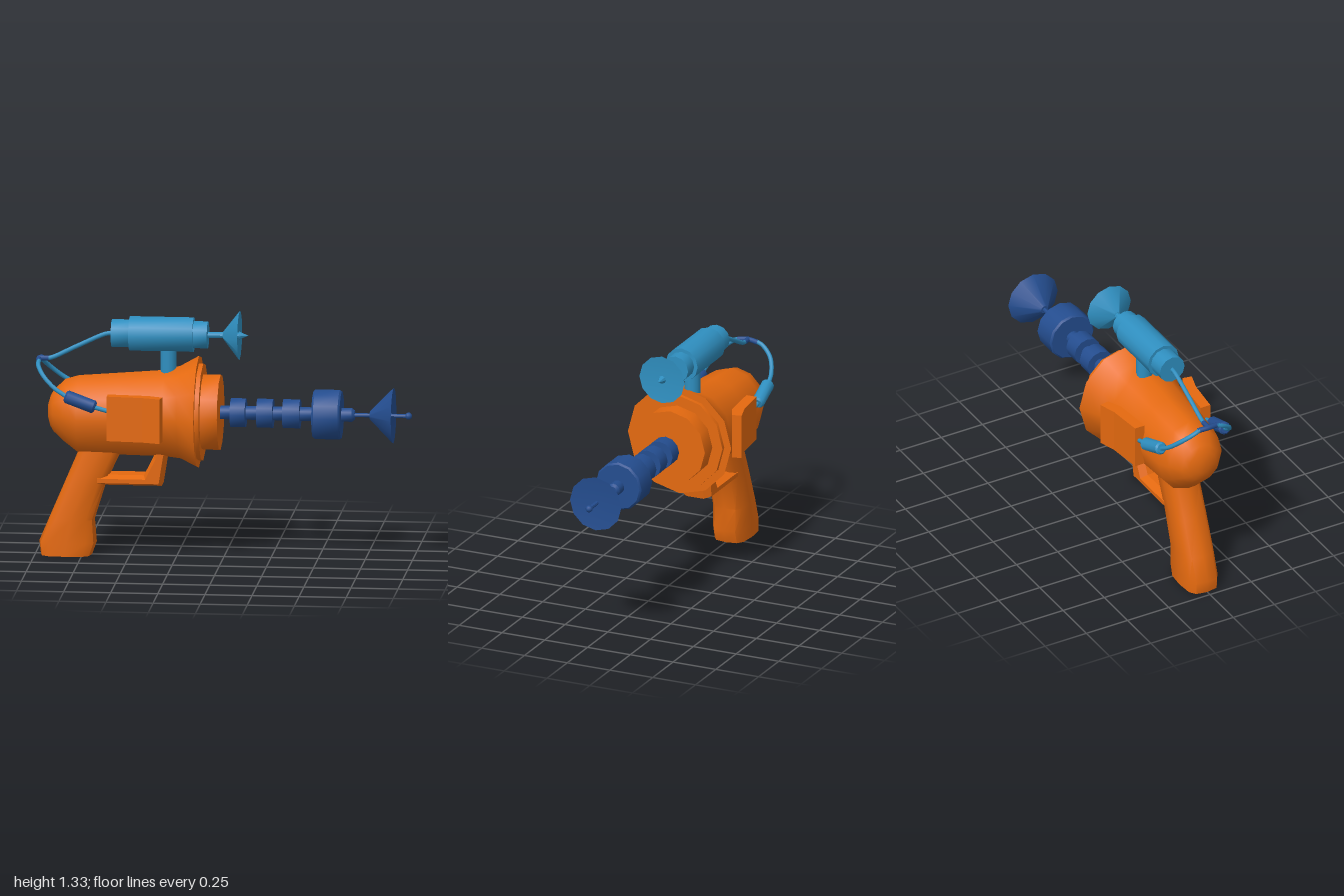
import * as THREE from 'three';
import { toCreasedNormals } from 'three/addons/utils/BufferGeometryUtils.js';

const material = (name, color) => {
  const m = new THREE.MeshStandardMaterial({ color });
  m.name = name;
  return m;
};
const V = (x, y, z) => new THREE.Vector3(x, y, z);

// Closed skin through rings of points, each ring anticlockwise about the travel direction
function loft(rings) {
  const n = rings[0].length, last = rings.length - 1, pos = [], idx = [];
  rings.forEach(r => r.forEach(p => pos.push(p.x, p.y, p.z)));
  const cap = k => {
    const c = rings[k].reduce((s, p) => s.add(p), V(0, 0, 0)).divideScalar(n);
    pos.push(c.x, c.y, c.z);
    return pos.length / 3 - 1;
  };
  const start = cap(0), end = cap(last);
  for (let i = 0; i < n; i++) {
    const j = (i + 1) % n;
    for (let k = 0; k < last; k++) {
      const a = k * n + i, b = k * n + j;
      idx.push(a, b, b + n, a, b + n, a + n);
    }
    idx.push(start, j, i, end, last * n + i, last * n + j);
  }
  const g = new THREE.BufferGeometry();
  g.setAttribute('position', new THREE.Float32BufferAttribute(pos, 3));
  g.setIndex(idx);
  return toCreasedNormals(g, 0.75);
}

// Solid of revolution about the x axis from [x, radius] pairs
function turned(profile, sides = 12) {
  const g = new THREE.LatheGeometry(profile.map(([x, r]) => new THREE.Vector2(r, x)), sides);
  return toCreasedNormals(g.rotateZ(-Math.PI / 2), 0.65);
}

const angles = Array.from({ length: 12 }, (_, i) => i * Math.PI / 6);
const square = v => Math.sign(v) * Math.abs(v) ** 0.6;

export function createModel() {
  const orange = material('orange shell', 0xe4690f);
  const navy = material('dark blue metal', 0x244d8f);
  const blue = material('light blue metal', 0x2f8fc0);
  const model = new THREE.Group();
  model.name = 'rayGun';
  const add = (name, geometry, mat, x = 0, y = 0, z = 0) => {
    const mesh = new THREE.Mesh(geometry, mat);
    mesh.name = name;
    mesh.position.set(x, y, z);
    model.add(mesh);
    return mesh;
  };
  const tube = (name, points, radius, mat, straight = false) => {
    const curve = straight ? new THREE.LineCurve3(...points) : new THREE.CatmullRomCurve3(points);
    return add(name, new THREE.TubeGeometry(curve, straight ? 1 : 20, radius, 8), mat);
  };

  // Body: x, centre height, half height, half width
  const body = [
    [-0.932, 0.77, 0.04, 0.035], [-0.918, 0.77, 0.085, 0.085], [-0.9, 0.77, 0.115, 0.115],
    [-0.84, 0.77, 0.172, 0.162], [-0.77, 0.753, 0.21, 0.18], [-0.55, 0.76, 0.221, 0.198],
    [-0.31, 0.768, 0.233, 0.22], [-0.23, 0.775, 0.25, 0.245], [-0.133, 0.778, 0.302, 0.302],
  ];
  add('body', loft(body.map(([x, cy, ry, rz]) =>
    angles.map(a => V(x, cy + ry * Math.cos(a), rz * Math.sin(a))))), orange);
  add('muzzleRings', turned([[-0.15, 0], [-0.15, 0.262], [-0.11, 0.262], [-0.11, 0.203],
    [-0.018, 0.203], [-0.018, 0]]), orange, 0, 0.778);

  // Grip: height, back x, front x
  const grip = [[0, -0.972, -0.7], [0.07, -0.98, -0.675], [0.195, -0.927, -0.685],
    [0.39, -0.844, -0.625], [0.54, -0.78, -0.555], [0.62, -0.76, -0.53]];
  add('grip', loft(grip.map(([y, x0, x1]) => angles.map(a =>
    V((x0 + x1) / 2 + (x1 - x0) / 2 * square(Math.sin(a)), y, 0.093 * square(Math.cos(a)))))), orange);

  // Trigger guard
  const guard = new THREE.Shape([[-0.68, 0.385], [-0.325, 0.385], [-0.3, 0.54], [-0.29, 0.6],
    [-0.35, 0.6], [-0.37, 0.54], [-0.42, 0.44], [-0.68, 0.44]].map(p => new THREE.Vector2(...p)));
  add('triggerGuard', new THREE.ExtrudeGeometry(guard, {
    depth: 0.1, bevelEnabled: true, bevelSegments: 1, bevelThickness: 0.04, bevelSize: 0.016, bevelOffset: -0.016,
  }).translate(0, 0, -0.05), orange);

  // Side panels, bent outwards at the front
  const panel = [[-0.6, 0.17], [-0.38, 0.19], [-0.305, 0.225], [-0.315, 0.277], [-0.41, 0.248], [-0.6, 0.228]];
  for (const side of [1, -1]) {
    const shape = new THREE.Shape(panel.map(([x, z]) => new THREE.Vector2(x, -z * side)));
    const g = new THREE.ExtrudeGeometry(shape, { depth: 0.24, bevelEnabled: false });
    add(side > 0 ? 'frontPanel' : 'backPanel', g.rotateX(-Math.PI / 2), orange, 0, 0.657);
  }

  // Barrel with cooling rings
  const rod = 0.037, barrel = [[-0.03, 0], [-0.03, rod]];
  for (const [x0, x1] of [[0.037, 0.117], [0.177, 0.262], [0.315, 0.405]])
    barrel.push([x0, rod], [x0, 0.078], [x1, 0.078], [x1, rod]);
  barrel.push([0.475, rod], [0.475, 0.125], [0.485, 0.134], [0.615, 0.134], [0.625, 0.125],
    [0.625, rod], [0.68, rod], [0.695, 0.025], [0.695, 0]);
  add('barrel', turned(barrel), navy, 0, 0.778);
  add('barrelDish', turned([[0.775, 0], [0.775, 0.022], [0.9, 0.15], [0.885, 0]]), navy, 0, 0.778);
  add('barrelNeedle', turned([[0.68, 0], [0.68, 0.011], [0.975, 0.011], [0.975, 0]], 8), navy, 0, 0.778);
  add('needleBall', new THREE.SphereGeometry(0.019, 10, 8), navy, 0.98, 0.778);

  // Tank on a post above the body
  add('tank', turned([[-0.595, 0], [-0.595, 0.075], [-0.5, 0.075], [-0.5, 0.093], [-0.16, 0.093],
    [-0.16, 0.073], [-0.085, 0.073], [-0.085, 0]]), blue, 0, 1.194);
  add('tankPost', new THREE.CylinderGeometry(0.043, 0.043, 0.17, 12), blue, -0.294, 1.045);
  add('tankRod', turned([[-0.1, 0], [-0.1, 0.016], [0.08, 0.016], [0.08, 0.022], [0.13, 0]], 8), blue, 0, 1.194);
  add('tankDish', turned([[-0.005, 0], [-0.005, 0.018], [0.083, 0.132], [0.07, 0]]), blue, 0, 1.194);

  // Cable from the tank to the rear junction
  tube('tankCable', [V(-0.59, 1.194, 0), V(-0.625, 1.19, 0), V(-0.78, 1.12, 0), V(-0.92, 1.054, 0), V(-0.96, 1.05, 0)], 0.012, blue);
  tube('junctionStem', [V(-0.985, 1.052, 0), V(-0.93, 1.052, 0)], 0.014, navy, true);
  tube('junctionBar', [V(-0.975, 1.045, -0.06), V(-0.983, 1.05, 0), V(-0.975, 1.045, 0.06)], 0.014, navy);

  // Side cables, each with a connector plugged into its panel
  const plug = [[-0.085, 0], [-0.085, 0.026], [-0.075, 0.035], [0.075, 0.035], [0.085, 0.026], [0.085, 0]];
  for (const side of [1, -1]) {
    const name = side > 0 ? 'front' : 'back';
    const from = V(-0.822, 0.888, 0.193 * side), to = V(-0.665, 0.832, 0.203 * side);
    tube(name + 'Cable', [V(-0.978, 1.048, 0.05 * side), V(-0.978, 1.032, 0.085 * side),
      V(-0.945, 0.985, 0.145 * side), V(-0.88, 0.925, 0.182 * side), from], 0.012, blue);
    tube(name + 'PlugCable', [to, V(-0.585, 0.81, 0.203 * side)], 0.012, blue, true);
    const connector = add(name + 'Connector', turned(plug, 10), side > 0 ? navy : blue);
    connector.position.copy(from).lerp(to, 0.5);
    connector.quaternion.setFromUnitVectors(V(1, 0, 0), to.clone().sub(from).normalize());
  }
  return model;
}
